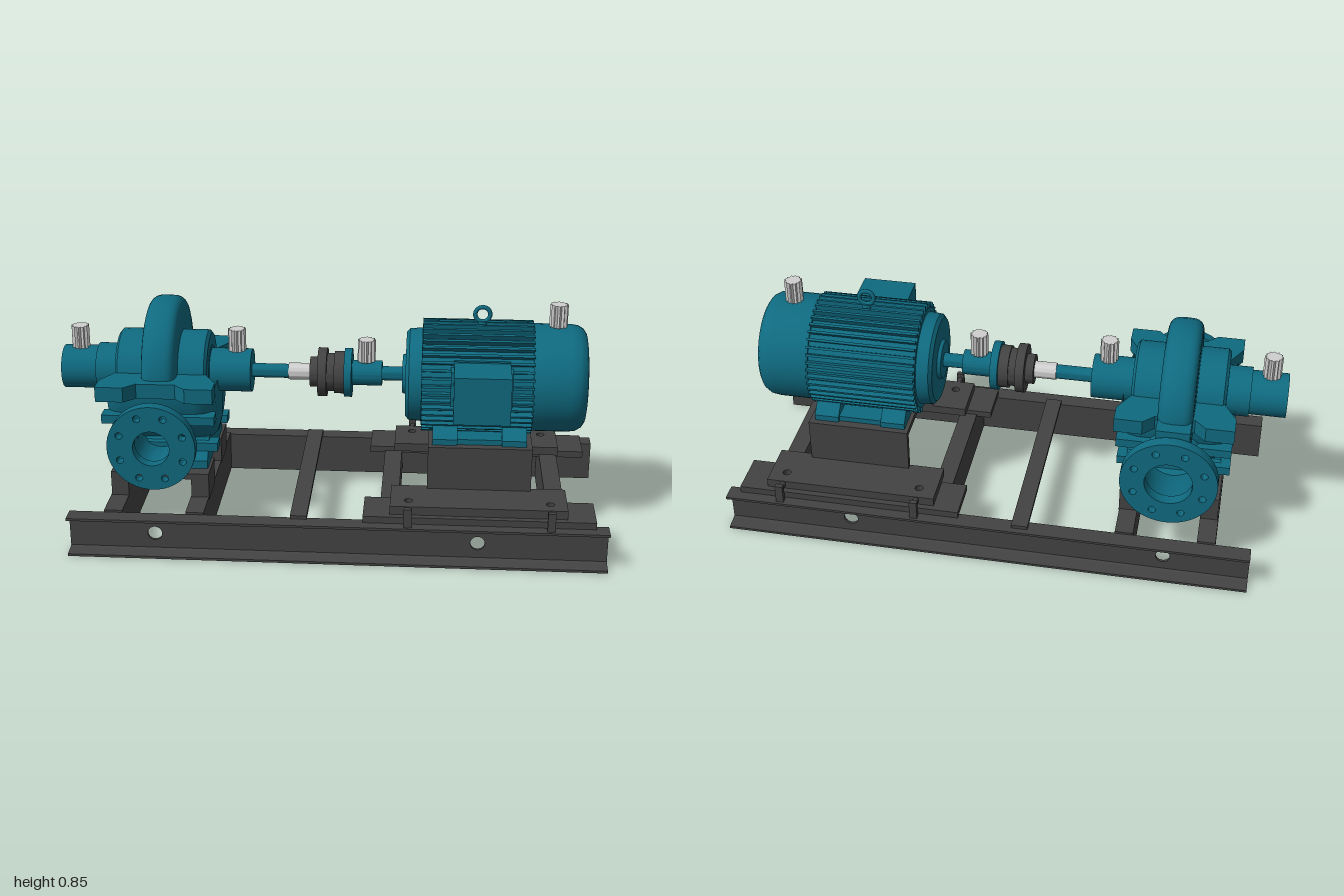
import * as THREE from 'three';
import { toCreasedNormals } from 'three/addons/utils/BufferGeometryUtils.js';

const paint = new THREE.MeshStandardMaterial({ color: 0x0f6a80, side: THREE.DoubleSide });
paint.name = 'teal paint';
const steel = new THREE.MeshStandardMaterial({ color: 0x434343, side: THREE.DoubleSide });
steel.name = 'dark steel';
const bright = new THREE.MeshStandardMaterial({ color: 0xcfcfcf });
bright.name = 'bright metal';

const AXIS = 0.57, PUMP = -0.62;

export function createModel() {
  const model = new THREE.Group();
  const add = (name, geo, mat, x = 0, y = 0, z = 0) => {
    const m = new THREE.Mesh(geo, mat);
    m.name = name;
    m.position.set(x, y, z);
    model.add(m);
    return m;
  };
  // Box given by its limits
  const box = (name, mat, x0, x1, y0, y1, z0, z1) =>
    add(name, new THREE.BoxGeometry(x1 - x0, y1 - y0, z1 - z0), mat, (x0 + x1) / 2, (y0 + y1) / 2, (z0 + z1) / 2);
  // Turned part about the x axis, profile of [x, radius]
  const turned = (pts, start = 0, len = Math.PI * 2) => toCreasedNormals(
    new THREE.LatheGeometry(pts.map(([x, r]) => new THREE.Vector2(r, x)), 48, start, len).rotateZ(-Math.PI / 2), 0.6);
  const disc = (name, mat, x0, x1, r) => add(name, turned([[x0, 0], [x0, r], [x1, r], [x1, 0]]), mat, 0, AXIS);
  const shape = pts => new THREE.Shape(pts.map(p => new THREE.Vector2(...p)));
  const hole = (s, x, y, r) => s.holes.push(new THREE.Path().absarc(x, y, r, 0, Math.PI * 2, true));
  const extrude = (s, depth) => new THREE.ExtrudeGeometry(s, { depth, bevelEnabled: false, curveSegments: 24 });
  // Section drawn as [z, y], swept from x0 to x1
  const sweepX = (pts, x0, x1) => extrude(shape(pts.map(([z, y]) => [-z, y])), x1 - x0)
    .rotateY(Math.PI / 2).translate(x0, 0, 0);

  // Base rails: outward facing channels with tapered flanges
  for (const s of [1, -1]) {
    const web = shape([[-0.93, 0], [1, 0], [1, 0.15], [-0.93, 0.15]]);
    hole(web, PUMP, 0.075, 0.026);
    hole(web, 0.54, 0.075, 0.026);
    add('railWeb', extrude(web, 0.01), steel, 0, 0, s > 0 ? 0.368 : -0.378);
    const a = s * 0.372, b = s * 0.433;
    add('railLowerFlange', sweepX([[a, 0], [b, 0], [b, 0.009], [s * 0.385, 0.014], [a, 0.022]], -0.93, 1), steel);
    add('railUpperFlange', sweepX([[a, 0.15], [b, 0.15], [b, 0.141], [s * 0.385, 0.136], [a, 0.128]], -0.93, 1), steel);
  }

  // Cross beams
  for (const x of [-0.77, -0.475, 0.22, 0.82])
    box('crossBeam', steel, x - 0.033, x + 0.033, 0.002, 0.158, -0.37, 0.37);
  box('crossStrap', steel, -0.13, -0.07, 0.148, 0.163, -0.41, 0.38);

  // Motor mounting plates with bolt holes and stops
  for (const s of [1, -1]) {
    for (const [name, x0, x1, z0, z1, y, h] of [
      ['lowerPlate', 0.13, 0.955, 0.23, 0.392, 0.15, 0.025],
      ['upperPlate', 0.225, 0.855, 0.19, 0.37, 0.175, 0.032]]) {
      const p = shape([[x0, -s * z0], [x1, -s * z0], [x1, -s * z1], [x0, -s * z1]]);
      for (const x of [0.29, 0.795]) hole(p, x, -s * 0.317, 0.015);
      add(name, extrude(p, h).rotateX(-Math.PI / 2), steel, 0, y, 0);
    }
    for (const x of [0.29, 0.795]) {
      box('plateStop', steel, x - 0.014, x + 0.014, 0.15, 0.22, s * 0.413 - 0.009, s * 0.413 + 0.009);
      const bolt = add('stopBolt', new THREE.CylinderGeometry(0.011, 0.011, 0.05, 6), steel, x, 0.195, s * 0.39);
      bolt.rotation.x = Math.PI / 2;
    }
  }

  // Motor pedestal
  add('motorPedestal', sweepX([[-0.212, 0.175], [-0.212, 0.37], [0.212, 0.37], [0.212, 0.175],
    [0.19, 0.175], [0.19, 0.348], [-0.19, 0.348], [-0.19, 0.175]], 0.355, 0.73), steel);

  // Pump pedestals: one portal on each side
  for (const s of [1, -1]) {
    const portal = shape([[-0.80, 0.15], [-0.80, 0.25], [-0.44, 0.25], [-0.44, 0.15],
      [-0.505, 0.15], [-0.505, 0.228], [-0.737, 0.228], [-0.737, 0.15]]);
    add('pumpPedestal', extrude(portal, 0.15), steel, 0, 0, s > 0 ? 0.09 : -0.24);
  }

  // Motor body, radial fins and end covers
  add('motorCore', turned([[0.255, 0], [0.255, 0.07], [0.268, 0.075], [0.268, 0.155], [0.28, 0.168],
    [0.325, 0.172], [0.325, 0.187], [0.73, 0.187]]), paint, 0, AXIS);
  const fins = new THREE.Group();
  fins.name = 'motorFins';
  fins.position.y = AXIS;
  const finGeo = new THREE.BoxGeometry(0.4, 0.03, 0.009).translate(0.527, 0.192, 0);
  for (let i = 0; i < 44; i++) {
    const a = i / 44 * Math.PI * 2;
    if (Math.cos(a) < -0.93) continue;
    const f = new THREE.Mesh(finGeo, paint);
    f.name = 'fin';
    f.rotation.x = a;
    fins.add(f);
  }
  model.add(fins);
  add('fanCover', turned([[0.722, 0.15], [0.722, 0.197], [0.86, 0.197], [0.888, 0.193], [0.908, 0.181],
    [0.918, 0.165], [0.92, 0.153], [0.908, 0.14], [0.908, 0]]), paint, 0, AXIS);
  for (const [x0, x1] of [[0.37, 0.46], [0.62, 0.71]])
    add('motorFoot', sweepX([[-0.19, 0.37], [0.19, 0.37], [0.19, 0.392], [0.12, 0.46], [-0.12, 0.46], [-0.19, 0.392]], x0, x1), paint);
  box('motorFootRail', paint, 0.37, 0.71, 0.37, 0.39, -0.18, 0.18);
  box('terminalBox', paint, 0.44, 0.64, 0.508, 0.682, 0.15, 0.327);
  box('terminalBoxNeck', paint, 0.43, 0.65, 0.53, 0.66, 0.15, 0.215);
  add('liftingEye', new THREE.TorusGeometry(0.027, 0.008, 10, 28), paint, 0.54, 0.807, 0);
  add('liftingEyeBase', new THREE.CylinderGeometry(0.015, 0.018, 0.025, 16), paint, 0.54, 0.77, 0);

  // Shaft line and coupling
  disc('pumpShaft', paint, -0.31, -0.15, 0.026);
  disc('shaftSleeve', bright, -0.165, -0.08, 0.031);
  add('coupling', turned([[-0.085, 0], [-0.085, 0.055], [-0.055, 0.055], [-0.055, 0.09], [-0.022, 0.09],
    [-0.022, 0.07], [0.005, 0.07], [0.005, 0.078], [0.042, 0.078], [0.042, 0]]), steel, 0, AXIS);
  add('couplingHub', turned([[0.042, 0], [0.042, 0.09], [0.07, 0.09], [0.07, 0.046], [0.18, 0.046], [0.18, 0]]), paint, 0, AXIS);
  disc('motorShaft', paint, 0.17, 0.27, 0.026);

  // Pump bearing housings and upper casing
  add('pumpBearings', turned([[-1, 0], [-1, 0.08], [-0.87, 0.08], [-0.87, 0.09], [-0.78, 0.09],
    [-0.45, 0.09], [-0.45, 0.08], [-0.3, 0.08], [-0.3, 0]]), paint, 0, AXIS);
  add('upperCasing', turned([[-0.788, 0], [-0.788, 0.135], [-0.778, 0.147], [-0.462, 0.147], [-0.452, 0.135],
    [-0.452, 0]]), paint, 0, AXIS);

  // Rounded volute
  const volute = [[-0.065, 0]];
  for (let i = 0; i <= 12; i++) {
    const a = Math.PI * (1 - i / 12);
    volute.push([0.063 * Math.sign(Math.cos(a)) * Math.pow(Math.abs(Math.cos(a)), 0.6), 0.19 + 0.063 * Math.pow(Math.sin(a), 0.6)]);
  }
  volute.push([0.065, 0]);
  add('volute', turned(volute), paint, PUMP, 0.58, -0.033);

  // Lower casing, split flange and foot
  const bowl = add('lowerCasing', turned([[-0.2, 0], [-0.2, 0.18], [-0.19, 0.225], [-0.165, 0.25], [-0.13, 0.262],
    [0.13, 0.262], [0.165, 0.25], [0.19, 0.225], [0.2, 0.18], [0.2, 0]], 0, Math.PI), paint, PUMP, 0.56);
  bowl.scale.z = 0.84;
  const split = shape([[-0.83, 0.22], [-0.83, 0.29], [-0.73, 0.29], [-0.69, 0.25], [-0.55, 0.25], [-0.51, 0.29], [-0.41, 0.29],
    [-0.41, 0.22], [-0.46, 0.13], [-0.46, -0.13], [-0.41, -0.22], [-0.41, -0.29], [-0.51, -0.29], [-0.55, -0.25],
    [-0.69, -0.25], [-0.73, -0.29], [-0.83, -0.29], [-0.83, -0.22], [-0.78, -0.13], [-0.78, 0.13]]);
  add('splitFlange', extrude(split, 0.055).rotateX(-Math.PI / 2), paint, 0, 0.545, 0);
  box('rearLug', paint, -0.68, -0.56, 0.548, 0.598, -0.33, -0.22);
  for (const s of [1, -1]) for (const [y, z] of [[0.455, 0.205], [0.325, 0.135]])
    box('casingRib', paint, -0.825, -0.415, y - 0.016, y + 0.016, s * z - 0.03, s * z + 0.03);
  add('pumpFoot', sweepX([[-0.19, 0.25], [0.19, 0.25], [0.19, 0.28], [0.13, 0.35], [-0.13, 0.35], [-0.19, 0.28]], -0.79, -0.45), paint);

  // Nozzles with drilled pipe flanges
  for (const [name, s, R, bore, z0, profile] of [
    ['frontNozzle', 1, 0.158, 0.065, 0.338, [[0.1, 0.095], [0.2, 0.078], [0.26, 0.069], [0.345, 0.068]]],
    ['rearNozzle', -1, 0.172, 0.085, 0.335, [[0.08, 0.14], [0.18, 0.115], [0.25, 0.095], [0.345, 0.087]]]]) {
    const f = new THREE.Shape().absarc(0, 0, R, 0, Math.PI * 2);
    hole(f, 0, 0, bore);
    for (let i = 0; i < 8; i++) {
      const a = (i + 0.5) * Math.PI / 4;
      hole(f, Math.cos(a) * R * 0.77, Math.sin(a) * R * 0.77, 0.013);
    }
    const flange = toCreasedNormals(extrude(f, 0.042), 0.6);
    add(name + 'Flange', flange, paint, PUMP, 0.407, s > 0 ? z0 : -z0 - 0.042);
    add(name, turned(profile).rotateY(-s * Math.PI / 2), paint, PUMP, 0.407, 0);
  }

  // Fluted vent caps
  const teeth = [];
  for (let i = 0; i < 24; i++) {
    const a = i / 24 * Math.PI * 2, r = i % 2 ? 0.026 : 0.033;
    teeth.push([r * Math.cos(a), r * Math.sin(a)]);
  }
  const capGeo = extrude(shape(teeth), 0.083).rotateX(-Math.PI / 2);
  for (const [x, y] of [[-0.937, 0.648], [-0.355, 0.648], [0.122, 0.617], [0.813, 0.768]])
    add('ventCap', capGeo, bright, x, y, 0);

  return model;
}
